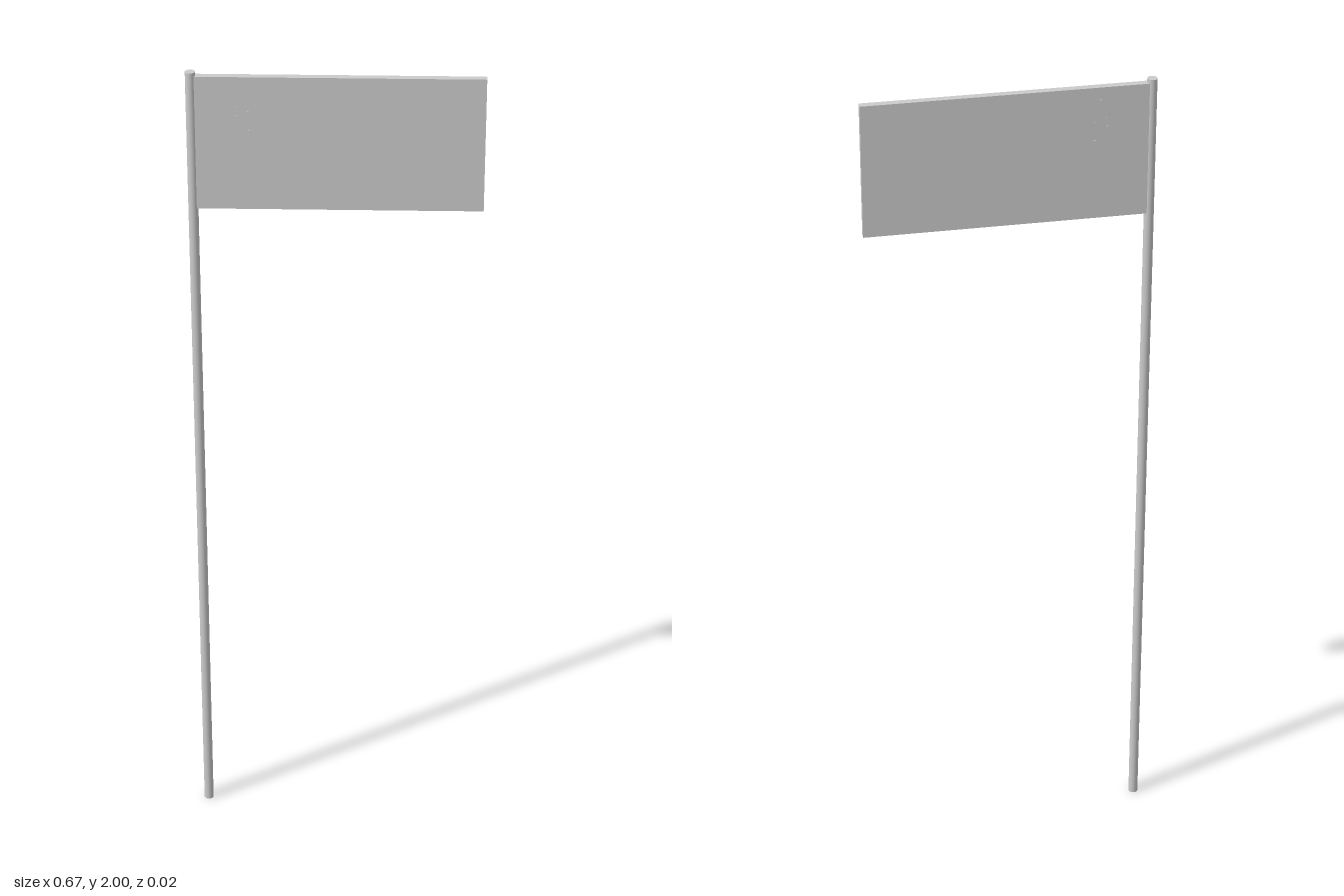
import * as THREE from 'three';

const material = new THREE.MeshStandardMaterial({ color: 0xcccccc });

function addPart(group, name, geometry, x, y, z) {
  const mesh = new THREE.Mesh(geometry, material);
  mesh.name = name;
  mesh.position.set(x, y, z);
  group.add(mesh);
  return mesh;
}

export function createModel() {
  const group = new THREE.Group();
  group.name = 'flag';

  // Slender round pole
  addPart(group, 'pole', new THREE.CylinderGeometry(0.0115, 0.0115, 2, 32), -0.3235, 1, 0);

  // Stiff rectangular panel, tucked slightly into the pole
  addPart(group, 'panel', new THREE.BoxGeometry(0.652, 0.323, 0.017), 0.008, 1.8295, -0.0005);

  // Tiny five-sided studs passing through the panel
  const studs = [[-0.206, 1.96], [-0.222, 1.915], [-0.222, 1.895], [-0.195, 1.905], [-0.194, 1.86]];
  const studGeometry = new THREE.CylinderGeometry(0.004, 0.004, 0.0205, 5);
  studGeometry.rotateX(Math.PI / 2);
  for (const [x, y] of studs) addPart(group, 'stud', studGeometry, x, y, -0.0005);

  return group;
}
